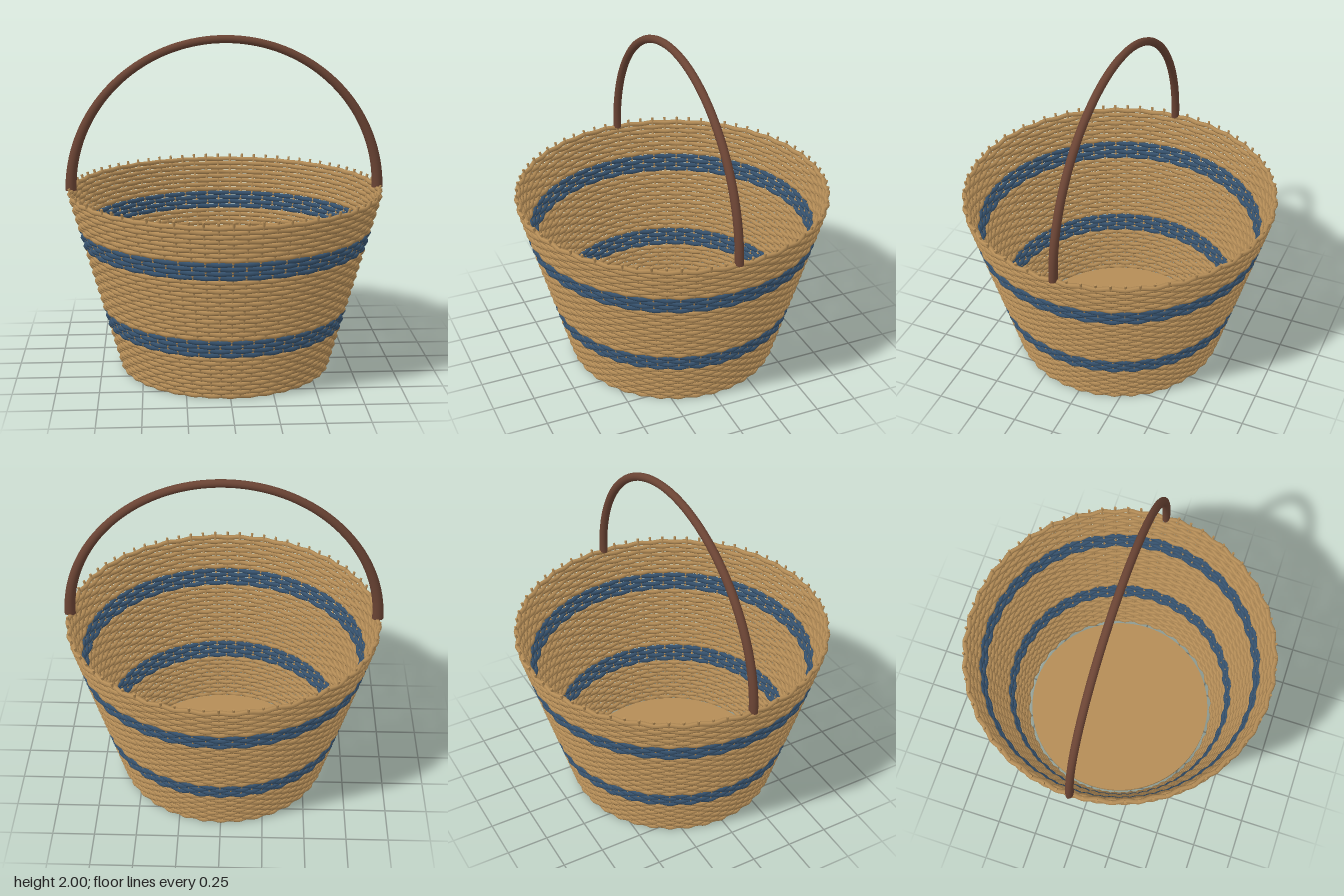
import * as THREE from 'three';
import { mergeGeometries } from 'three/addons/utils/BufferGeometryUtils.js';

const ROWS = 40, STAKES = 72;
const STRAND = 0.0145, PITCH = 0.0273, WAVE = 0.0065;
const wallRadius = (y) => 0.615 + 0.28 * y; // flared wall centre line

const material = (name, color) => {
  const m = new THREE.MeshStandardMaterial({ color });
  m.name = name;
  return m;
};

// One woven ring: a torus whose radius swings in and out around the stakes
function strand(row) {
  const y = STRAND + row * PITCH;
  const geo = new THREE.TorusGeometry(wallRadius(y), STRAND, 6, 216).rotateX(Math.PI / 2);
  const pos = geo.attributes.position;
  const sign = row % 2 ? -1 : 1;
  for (let i = 0; i < pos.count; i++) {
    const x = pos.getX(i), z = pos.getZ(i);
    const a = Math.atan2(z, x);
    const k = 1 + sign * WAVE * Math.cos(a * STAKES / 2) / Math.hypot(x, z);
    pos.setXYZ(i, x * k, pos.getY(i) + y, z * k);
  }
  return geo;
}

// Upright stake leaning outwards with the wall
function stake(i) {
  const top = 1.112, low = 0.006;
  const a = new THREE.Vector3(wallRadius(low), low, 0);
  const b = new THREE.Vector3(wallRadius(top), top, 0);
  const dir = b.clone().sub(a);
  const geo = new THREE.CylinderGeometry(0.008, 0.008, dir.length(), 6);
  geo.rotateZ(-Math.atan2(dir.x, dir.y));
  geo.translate((a.x + b.x) / 2, (a.y + b.y) / 2, 0);
  return geo.rotateY((i / STAKES) * Math.PI * 2);
}

// Half-ellipse path of the handle
class HandleCurve extends THREE.Curve {
  getPoint(t, target = new THREE.Vector3()) {
    const a = t * Math.PI;
    return target.set(0.915 * Math.cos(a), 1.085 + 0.891 * Math.sin(a), 0);
  }
}

function handleGeometry() {
  const curve = new HandleCurve(), segs = 72, sides = 12;
  const geo = new THREE.TubeGeometry(curve, segs, 0.0235, sides, false);
  const pos = geo.attributes.position, v = new THREE.Vector3();
  // Widen in the plane of the arch towards both ends
  for (let i = 0; i < pos.count; i++) {
    const t = Math.floor(i / (sides + 1)) / segs;
    const c = curve.getPointAt(t);
    const widen = 1 + 0.42 * Math.pow(Math.abs(2 * t - 1), 2);
    v.fromBufferAttribute(pos, i).sub(c);
    pos.setXYZ(i, c.x + v.x * widen, c.y + v.y * widen, v.z);
  }
  // End caps
  const caps = [-1, 1].map((s) =>
    new THREE.CircleGeometry(0.0235, sides).rotateX(Math.PI / 2).scale(1.42, 1, 1).translate(s * 0.915, 1.085, 0));
  return mergeGeometries([geo, ...caps]);
}

export function createModel() {
  const group = new THREE.Group();
  group.name = 'basket';
  const straw = material('straw', 0xb58d57);
  const blue = material('blue', 0x36526e);
  const brown = material('brown', 0x6b4434);

  const add = (name, geo, mat) => {
    const mesh = new THREE.Mesh(geo, mat);
    mesh.name = name;
    group.add(mesh);
  };

  // Woven wall with two blue bands of four rows each
  const plain = [], lowerBand = [], upperBand = [];
  for (let r = 0; r < ROWS; r++) {
    const list = r >= 10 && r < 14 ? lowerBand : r >= 28 && r < 32 ? upperBand : plain;
    list.push(strand(r));
  }
  add('wovenWall', mergeGeometries(plain), straw);
  add('lowerBand', mergeGeometries(lowerBand), blue);
  add('upperBand', mergeGeometries(upperBand), blue);

  add('stakes', mergeGeometries(Array.from({ length: STAKES }, (_, i) => stake(i))), straw);

  // Floor disc, just clear of the wall
  add('floor', new THREE.CylinderGeometry(0.588, 0.588, 0.02, 72).translate(0, 0.014, 0), straw);

  add('handle', handleGeometry(), brown);
  return group;
}
